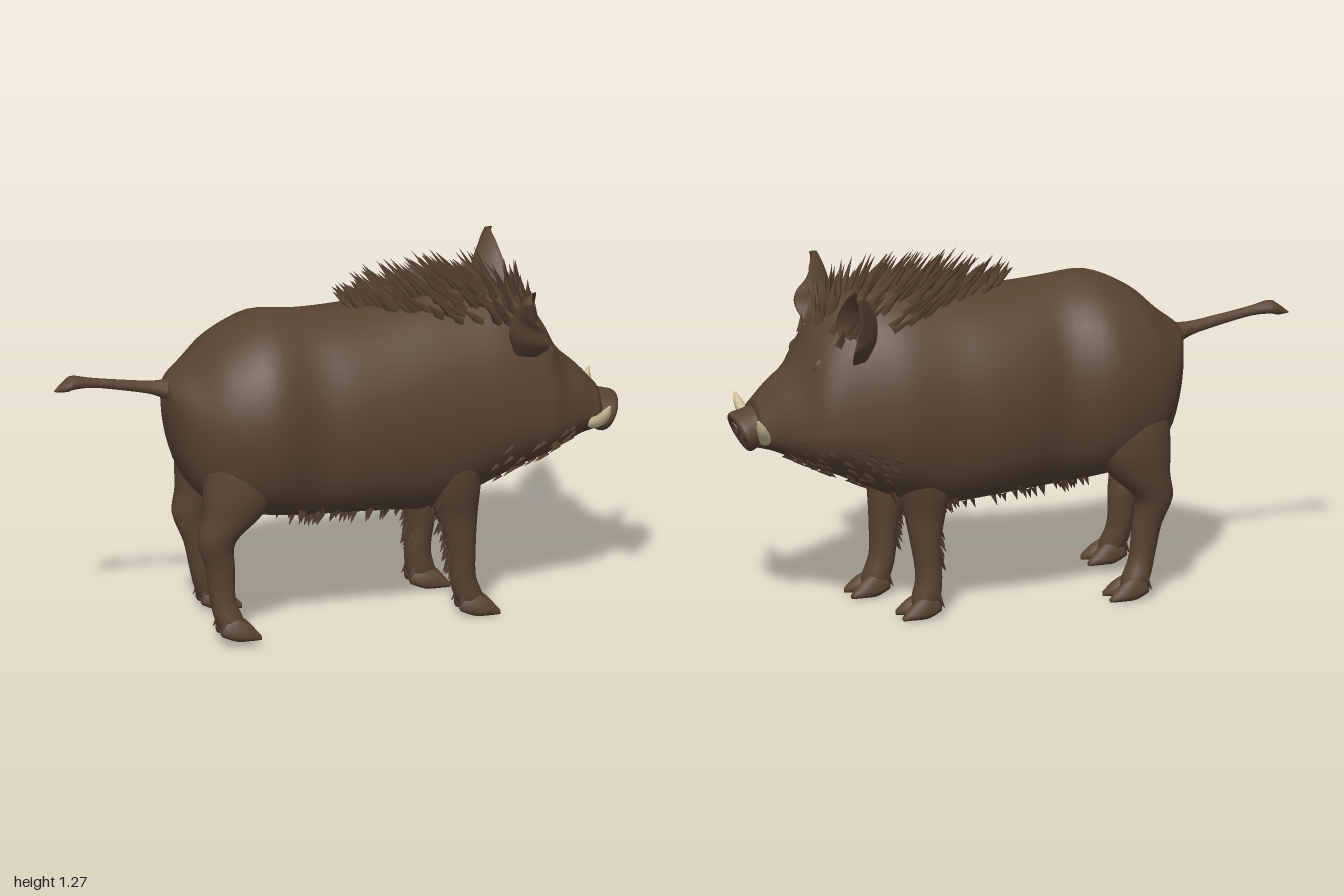
import * as THREE from 'three';
import { mergeGeometries } from 'three/addons/utils/BufferGeometryUtils.js';

const V = (x, y, z) => new THREE.Vector3(x, y, z);
const { sin, cos, sign, abs, pow, PI } = Math;
const clamp = t => Math.max(0, Math.min(1, t));

let seed = 7;
const rand = (a = 0, b = 1) => {
  seed = (seed * 16807) % 2147483647;
  return a + (b - a) * (seed / 2147483647);
};

// Smoothly interpolated row of section values, u from 0 to 1
function rowAt(rows, u) {
  const f = u * (rows.length - 1), i = Math.min(Math.floor(f), rows.length - 2), t = f - i;
  const r = k => rows[Math.max(0, Math.min(rows.length - 1, k))];
  return rows[0].map((_, c) => {
    const [a, b, d, e] = [r(i - 1)[c], r(i)[c], r(i + 1)[c], r(i + 2)[c]];
    return b + 0.5 * t * (d - a + t * (2 * a - 5 * b + 4 * d - e + t * (3 * (b - d) + e - a)));
  });
}

// Closed, capped skin over rings; ring(row, angle) returns a point
function loft(rows, ring, steps = 24, sides = 20) {
  const pts = [], idx = [];
  for (let i = 0; i <= steps; i++) {
    const row = rowAt(rows, i / steps);
    for (let j = 0; j < sides; j++) pts.push(ring(row, (j / sides) * 2 * PI));
  }
  for (let i = 0; i < steps; i++) for (let j = 0; j < sides; j++) {
    const a = i * sides + j, b = i * sides + (j + 1) % sides;
    idx.push(a, b, a + sides, b, b + sides, a + sides);
  }
  for (const end of [0, steps]) {
    const c = V(0, 0, 0), s = end * sides;
    for (let j = 0; j < sides; j++) c.addScaledVector(pts[s + j], 1 / sides);
    const n = pts.push(c) - 1;
    for (let j = 0; j < sides; j++) {
      const a = s + j, b = s + (j + 1) % sides;
      end ? idx.push(a, b, n) : idx.push(b, a, n);
    }
  }
  // Turn the faces outward if the enclosed volume is negative
  let vol = 0;
  for (let i = 0; i < idx.length; i += 3)
    vol += pts[idx[i]].dot(pts[idx[i + 1]].clone().cross(pts[idx[i + 2]]));
  if (vol < 0) idx.reverse();
  const g = new THREE.BufferGeometry().setFromPoints(pts);
  g.setIndex(idx);
  g.computeVertexNormals();
  return g;
}

// Rows: x, top, bottom, half width, centre z, height of widest point
const BODY = [
  [-0.6, 0.905, 0.79, 0.06, 0, 0.86], [-0.572, 0.93, 0.65, 0.14, 0, 0.81],
  [-0.515, 0.975, 0.52, 0.215, 0, 0.76], [-0.42, 1.06, 0.45, 0.278, 0.005, 0.75],
  [-0.28, 1.122, 0.42, 0.314, 0.01, 0.76], [-0.13, 1.117, 0.40, 0.28, 0.01, 0.74],
  [0, 1.11, 0.395, 0.303, 0, 0.73], [0.15, 1.115, 0.385, 0.31, -0.01, 0.72],
  [0.3, 1.13, 0.375, 0.298, -0.012, 0.72], [0.45, 1.14, 0.41, 0.29, -0.02, 0.72],
  [0.56, 1.135, 0.455, 0.27, -0.01, 0.72], [0.65, 1.1, 0.495, 0.25, 0, 0.70],
  [0.73, 1.01, 0.525, 0.23, 0.008, 0.69], [0.79, 0.895, 0.555, 0.19, 0.018, 0.68],
  [0.86, 0.828, 0.585, 0.135, 0.035, 0.68], [0.925, 0.755, 0.60, 0.09, 0.05, 0.66],
];
// Round above, fuller below along the trunk
function bodyRing([x, top, bot, w, zc, yc], a) {
  const c = cos(a), s = sin(a), full = 0.65 + 0.22 * clamp((x - 0.35) / 0.3);
  return V(x, yc + c * (c > 0 ? top - yc : yc - bot), zc + w * sign(s) * pow(abs(s), c > 0 ? 1 : full));
}
function onBody(x, a) {
  let lo = 0, hi = 1;
  for (let i = 0; i < 20; i++) {
    const m = (lo + hi) / 2;
    rowAt(BODY, m)[0] < x ? (lo = m) : (hi = m);
  }
  return bodyRing(rowAt(BODY, lo), a);
}

// One bristle standing at p along direction d
function spike(p, d, len, r) {
  const g = new THREE.ConeGeometry(r, len, 4, 1, true);
  g.translate(0, len * 0.42, 0);
  g.applyQuaternion(new THREE.Quaternion().setFromUnitVectors(V(0, 1, 0), d.normalize()));
  return g.translate(p.x, p.y, p.z);
}

// Legs, rows: y, x, z, radius in x, radius in z
const FRONT = [
  [0.70, 0.37, 0.15, 0.12, 0.07], [0.58, 0.375, 0.16, 0.115, 0.09], [0.46, 0.385, 0.155, 0.094, 0.082],
  [0.36, 0.40, 0.145, 0.072, 0.066], [0.24, 0.415, 0.147, 0.05, 0.055], [0.14, 0.42, 0.147, 0.046, 0.05],
  [0.07, 0.44, 0.147, 0.05, 0.05], [0.025, 0.455, 0.147, 0.04, 0.042]];
const HIND = [
  [0.80, -0.35, 0.13, 0.10, 0.06], [0.66, -0.365, 0.16, 0.14, 0.10], [0.54, -0.375, 0.175, 0.142, 0.10],
  [0.44, -0.415, 0.185, 0.106, 0.08], [0.35, -0.47, 0.188, 0.067, 0.058], [0.25, -0.455, 0.182, 0.052, 0.047],
  [0.14, -0.445, 0.187, 0.045, 0.044], [0.07, -0.425, 0.2, 0.05, 0.047], [0.025, -0.41, 0.205, 0.04, 0.042]];
const TOE = [[-0.05, 0.07, 0.018, 0.02, 0, 0.035], [0, 0.08, 0, 0.031, 0, 0.025],
  [0.05, 0.054, 0, 0.027, 0, 0.018], [0.088, 0.016, 0, 0.01, 0, 0.007]];

export function createModel() {
  const model = new THREE.Group();
  model.name = 'boar';
  const mat = (name, color) => Object.assign(new THREE.MeshStandardMaterial({ color }), { name });
  const hide = mat('brown hide', 0x584433);
  const ivory = mat('ivory', 0xcfc09a);
  const add = (name, geo, m = hide, parent = model) => {
    const mesh = new THREE.Mesh(geo, m);
    mesh.name = name;
    parent.add(mesh);
    return mesh;
  };

  add('body', loft(BODY, bodyRing, 60, 36));

  // Tail with a flattened tuft
  add('tail', loft([[-0.56, 0.865, 0.05, 0.05], [-0.64, 0.885, 0.026, 0.028], [-0.74, 0.905, 0.02, 0.02],
    [-0.86, 0.927, 0.018, 0.018], [-0.93, 0.935, 0.024, 0.03], [-0.96, 0.925, 0.02, 0.026], [-1.0, 0.91, 0.002, 0.003]],
  ([x, y, ry, rz], a) => V(x, y + ry * cos(a), rz * sin(a)), 24, 10));

  // Snout: a flaring tube with a slightly dished disc and two nostril rims
  const snout = new THREE.Group();
  snout.name = 'snout';
  snout.position.set(0.965, 0.65, 0.052);
  snout.rotation.z = -0.43;
  model.add(snout);
  add('snoutDisc', loft([[-0.11, 0.064], [-0.06, 0.066], [-0.03, 0.07], [-0.005, 0.073], [0.007, 0.066],
    [0.004, 0.05], [-0.004, 0.02]], ([x, r], a) => V(x, r * cos(a), 1.28 * r * sin(a)), 24, 24), hide, snout);
  for (const s of [-1, 1]) {
    const rim = add('nostrilRim', new THREE.TorusGeometry(0.018, 0.006, 8, 18), hide, snout);
    rim.rotation.y = PI / 2;
    rim.scale.y = 1.2;
    rim.position.set(0.001, 0.004, s * 0.034);
  }

  for (const s of [1, -1]) {
    const side = s > 0 ? 'near' : 'far';

    // Cupped ear, rows: x, inner z, inner y, outer z, outer y, cup depth
    const tipX = s > 0 ? 0.6 : 0.67, tipY = s > 0 ? 1.18 : 1.21;
    add(side + 'Ear', loft([[0.655, 0.17, 0.95, 0.24, 0.94, 0.05], [0.678, 0.13, 1.06, 0.318, 1.0, 0.1],
      [0.67, 0.195, 1.155, 0.328, 1.05, 0.08], [(tipX + 0.65) / 2, 0.29, tipY + 0.008, 0.335, 1.1, 0.03],
      [tipX, 0.355, tipY, 0.357, tipY - 0.005, 0]],
    ([x, zi, yi, zo, yo, cup], a) => {
      const k = (1 + cos(a)) / 2, q = sin(a);
      return V(x - cup * q * q + 0.014 * q, yi + (yo - yi) * k, s * (zi + (zo - zi) * k));
    }, 20, 20));

    // Soft eyelid, nearly flush with the face
    const eye = add(side + 'Eye', new THREE.SphereGeometry(1, 14, 10));
    eye.scale.set(0.026, 0.018, 0.014);
    eye.rotation.z = -0.9;
    eye.position.copy(onBody(0.745, s * 0.66)).add(V(-0.008, -0.006, -s * 0.004));

    // Upturned tusk
    const [p, q] = s > 0 ? [V(0.885, 0.645, 0.145), V(0.918, 0.735, 0.25)] : [V(0.908, 0.645, -0.05), V(0.965, 0.742, -0.143)];
    const arc = new THREE.QuadraticBezierCurve3(p, V(p.x + 0.02, p.y + 0.02, q.z - s * 0.035), q);
    add(side + 'Tusk', loft([[0, 0.02], [0.4, 0.02], [0.75, 0.016], [1, 0.004]], ([t, r], a) => {
      const c = arc.getPoint(t), d = arc.getTangent(t), u = V(1, 0, 0).cross(d).normalize();
      return c.addScaledVector(u, r * cos(a)).addScaledVector(d.cross(u), r * sin(a));
    }, 14, 10), ivory);

    // Legs, each with two splayed toes and two dewclaws; the far pair is out of step
    for (const [name, rows, shift, dz, lift] of [
      ['FrontLeg', FRONT, s > 0 ? 0 : -0.085, s > 0 ? 0 : 0.02, 0],
      ['HindLeg', HIND, s > 0 ? -0.01 : 0.04, s > 0 ? 0 : -0.03, s > 0 ? 0.02 : 0]]) {
      const leg = new THREE.Group();
      leg.name = side + name;
      model.add(leg);
      const moved = rows.map(([y, x, z, rx, rz]) => {
        const k = Math.max(0, 1 - y / 0.6);
        return [y + lift, x + shift * k, s * (z + dz * k), rx, rz];
      });
      const ring = ([y, x, z, rx, rz], a) => V(x + rx * cos(a), y, z + rz * sin(a));
      add('limb', loft(moved, ring, 32, 18), hide, leg);
      const [, fx, fz] = moved[moved.length - 1];
      for (const t of [-1, 1]) {
        const toe = add('toe', loft(TOE, bodyRing, 10, 12), hide, leg);
        toe.position.set(fx, lift, fz + t * 0.029);
        toe.rotation.y = -t * 0.16;
        add('dewclaw', spike(V(fx - 0.04, 0.075 + lift, fz + t * 0.03), V(-0.5, -1, t * 0.4), 0.055, 0.016), hide, leg);
      }
      // Ragged fringe down the back of the forelegs
      if (name === 'FrontLeg') {
        const hairs = [];
        for (let i = 0; i < 28; i++) {
          const at = ring(rowAt(moved, rand(0.3, 0.68)), PI + rand(-0.7, 0.7));
          hairs.push(spike(at, V(-0.55, -1, rand(-0.3, 0.3)), rand(0.03, 0.05), 0.01));
        }
        add('legFringe', mergeGeometries(hairs), hide, leg);
      }
    }
  }

  // Bristling mane, narrow on the back and broad behind the ears
  const mane = [];
  for (let i = 0; i < 190; i++) {
    const x = 0.06 + 0.65 * pow(rand(), 0.8), k = (x - 0.06) / 0.65;
    const spread = 0.1 + 0.6 * Math.min(1, k * 1.6), a = rand(-1, 1) * spread;
    const front = Math.max(0, (x - 0.5) / 0.2);
    const d = V(-0.8 + 0.7 * front + rand(-0.2, 0.2), cos(a) * 0.9, sin(a) * 0.8 + rand(-0.2, 0.2));
    const len = (0.075 + 0.1 * sin(PI * Math.min(1, 0.1 + k * 0.75))) * rand(0.7, 1.1) * (1 - 0.4 * abs(a) / 0.8);
    mane.push(spike(onBody(x, a), d, len, rand(0.014, 0.02)));
  }
  add('mane', mergeGeometries(mane));

  // Short hair under the belly, throat and cheeks
  const fringe = [];
  for (let i = 0; i < 85; i++) {
    const p = onBody(rand(-0.26, 0.5), PI + rand(-0.6, 0.6));
    fringe.push(spike(p, V(-0.35, -1, rand(-0.3, 0.3)), rand(0.03, 0.05), 0.012));
  }
  add('bellyFringe', mergeGeometries(fringe));
  const ruff = [];
  for (let i = 0; i < 85; i++) {
    const a = rand(1.75, 2 * PI - 1.75);
    const p = onBody(rand(0.5, 0.83), a);
    ruff.push(spike(p, V(-0.95, -0.4 + cos(a) * 0.35, sin(a) * 0.25), rand(0.03, 0.05), 0.011));
  }
  add('cheekRuff', mergeGeometries(ruff));

  return model;
}
